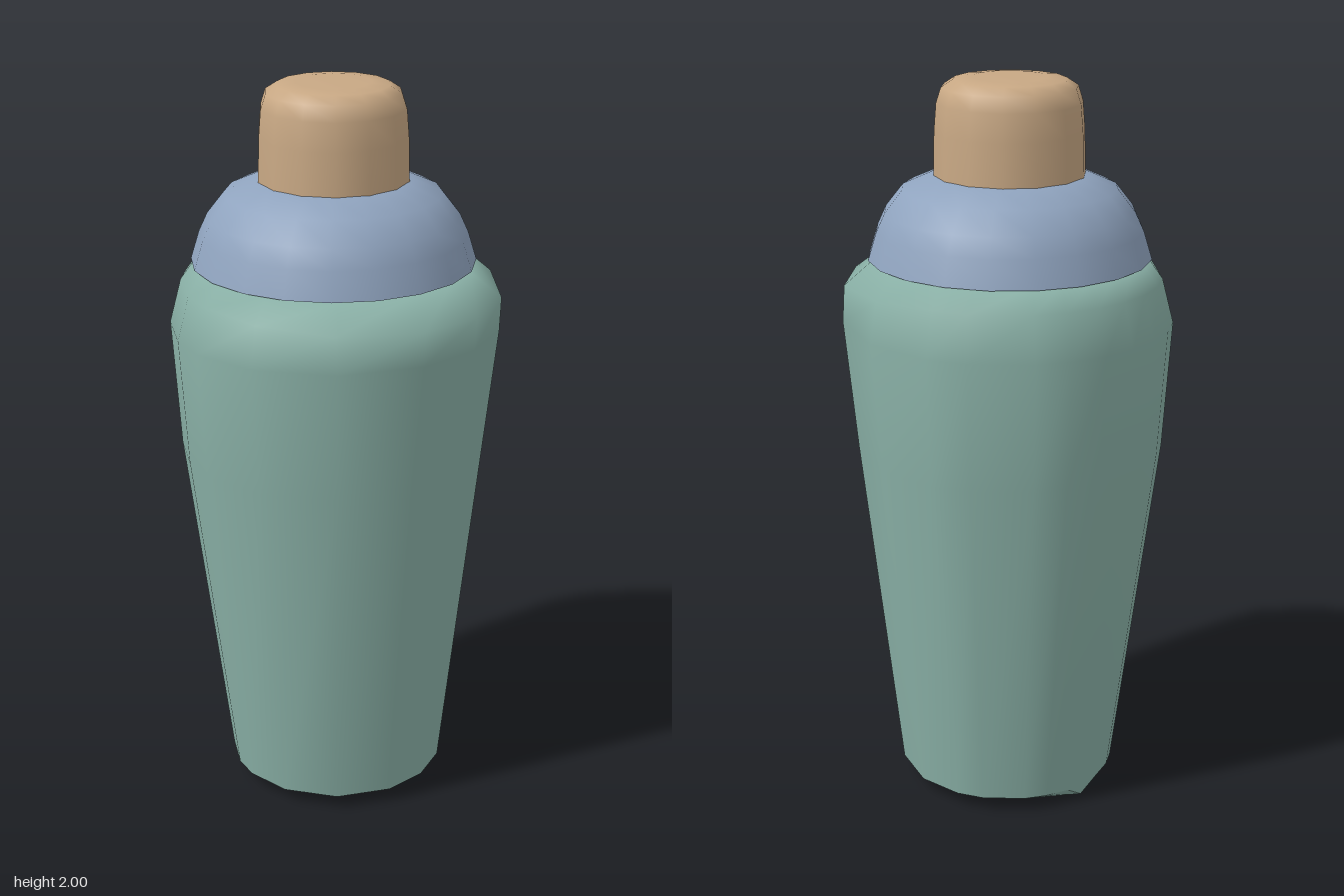
import * as THREE from 'three';

const bodyMat = new THREE.MeshStandardMaterial({ color: 0x8bb2a8 });
bodyMat.name = 'sage green';
const collarMat = new THREE.MeshStandardMaterial({ color: 0x8fa3be });
collarMat.name = 'slate blue';
const capMat = new THREE.MeshStandardMaterial({ color: 0xc8a884 });
capMat.name = 'tan';

// Irregular facet angles round the body, mirrored left to right (0 = front)
const half = [23.4, 53, 82, 106.6, 121, 143, 155, 168];
const angles = [0, ...half, 180, ...half.map((a) => 360 - a).reverse()]
  .map((a) => THREE.MathUtils.degToRad(a));

// Each ring blends from a front to a back radius and height
const rings = [
  { r: [0.302, 0.302], y: [0.04, 0.04] },
  { r: [0.403, 0.426], y: [1.0, 1.0] },
  { r: [0.443, 0.449], y: [1.36, 1.35] },
  { r: [0.449, 0.418], y: [1.45, 1.47] },
  { r: [0.36, 0.375], y: [1.515, 1.53] },
  { r: [0, 0], y: [1.53, 1.53] },
];

function ringPoint(ring, a) {
  const t = Math.min(1, (1 - Math.cos(a)) * 0.8);
  let r = THREE.MathUtils.lerp(ring.r[0], ring.r[1], t);
  let y = THREE.MathUtils.lerp(ring.y[0], ring.y[1], t);
  // the bottom rim dips to a point at the back
  if (ring === rings[0] && Math.abs(a - Math.PI) < 0.01) { r = 0.29; y = 0; }
  return [r * Math.sin(a), y, r * Math.cos(a)];
}

function geometry(positions, index) {
  const g = new THREE.BufferGeometry();
  g.setAttribute('position', new THREE.Float32BufferAttribute(positions, 3));
  g.setIndex(index);
  g.computeVertexNormals();
  return g;
}

function bodyGeometry() {
  const n = angles.length;
  const pos = [], index = [];
  rings.forEach((ring) => angles.forEach((a) => pos.push(...ringPoint(ring, a))));
  for (let i = 0; i < rings.length - 1; i++) {
    for (let j = 0; j < n; j++) {
      const a = i * n + j, b = i * n + (j + 1) % n;
      index.push(a, b, b + n, a, b + n, a + n);
    }
  }
  return geometry(pos, index);
}

// Base fans out from the dipped back corner
function baseGeometry() {
  const n = angles.length, back = n / 2;
  const pos = angles.flatMap((a) => ringPoint(rings[0], a));
  const index = [];
  for (let j = 0; j < n; j++) {
    const k = (j + 1) % n;
    if (j !== back && k !== back) index.push(back, k, j);
  }
  return geometry(pos, index);
}

function lathe(points, segments) {
  return new THREE.LatheGeometry(points.map(([r, y]) => new THREE.Vector2(r, y)), segments);
}

export function createModel() {
  const model = new THREE.Group();
  model.name = 'cocktailShaker';
  const add = (name, geo, mat, z = 0) => {
    const mesh = new THREE.Mesh(geo, mat);
    mesh.name = name;
    mesh.position.z = z;
    model.add(mesh);
  };

  // Tapered cup
  add('body', bodyGeometry(), bodyMat);
  add('base', baseGeometry(), bodyMat);

  // Domed collar with a flat underside
  add('collar', lathe([
    [0.381, 1.525], [0.358, 1.6], [0.335, 1.65], [0.288, 1.71], [0.21, 1.745], [0.15, 1.75],
  ], 20), collarMat, -0.01);
  const under = new THREE.CircleGeometry(0.381, 20);
  under.rotateX(Math.PI / 2);
  under.translate(0, 1.525, 0);
  add('collarUnderside', under, collarMat, -0.01);

  // Rounded cap
  add('cap', lathe([
    [0.203, 1.74], [0.2, 1.86], [0.194, 1.935], [0.181, 1.975], [0.15, 1.995], [0.1, 2], [0, 2],
  ], 14), capMat, -0.01);

  return model;
}
